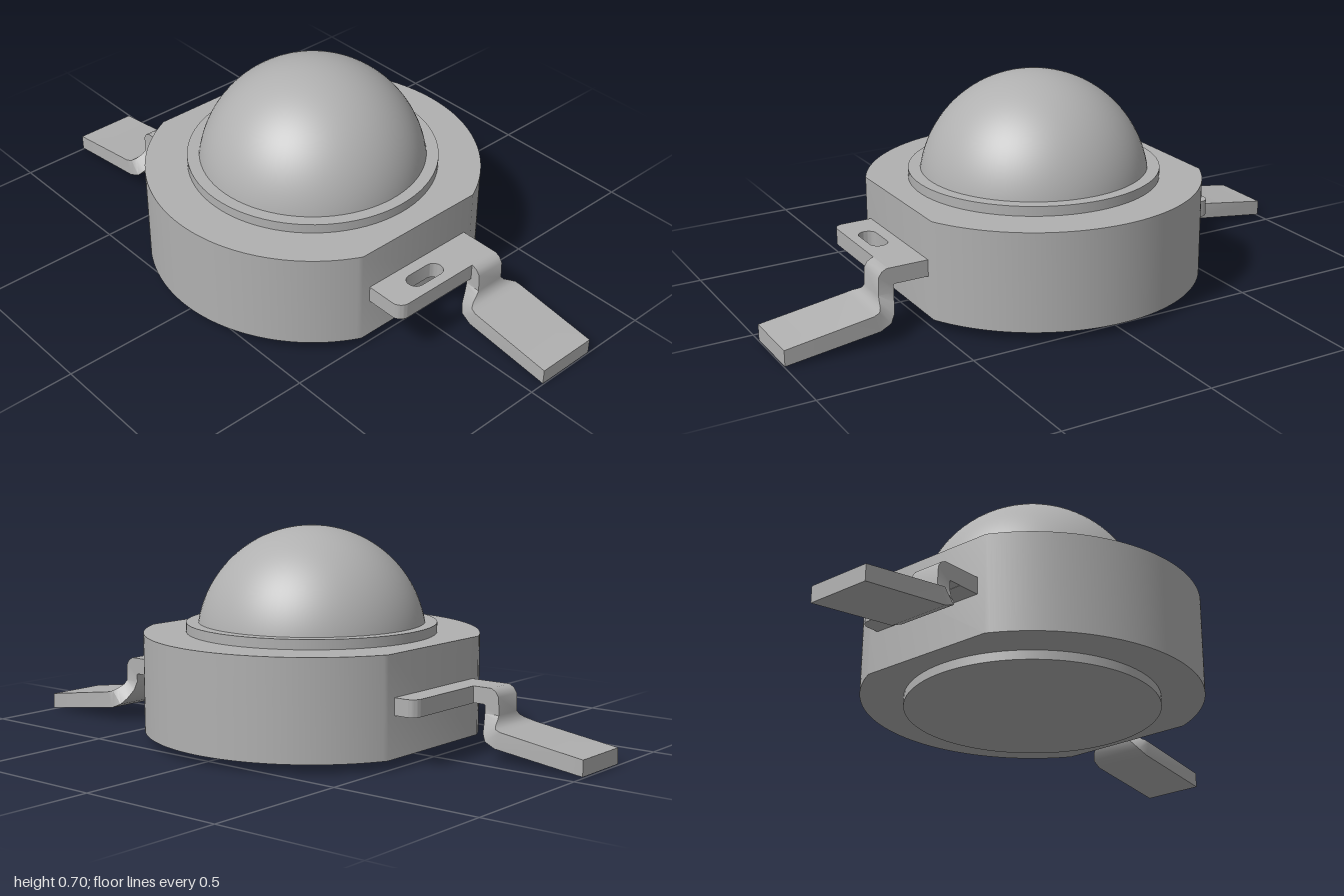
import * as THREE from 'three';
import { toCreasedNormals } from 'three/addons/utils/BufferGeometryUtils.js';

const grey = new THREE.MeshStandardMaterial({ color: 0xb0b0b0 });
grey.name = 'grey';

function part(name, geometry, y = 0) {
  const mesh = new THREE.Mesh(geometry, grey);
  mesh.name = name;
  mesh.position.y = y;
  return mesh;
}

// Extrude a plan outline (shape y = -z) upwards
function slab(shape, depth, curveSegments) {
  const g = new THREE.ExtrudeGeometry(shape, { depth, bevelEnabled: false, curveSegments });
  return toCreasedNormals(g.rotateX(-Math.PI / 2), 0.5);
}

// Side plate with one rounded corner and an optional slot
function plateGeometry(outerX, slotted) {
  const r = 0.035, s = new THREE.Shape();
  s.moveTo(0.49, -0.21);
  s.lineTo(outerX - r, -0.21);
  s.absarc(outerX - r, -0.21 + r, r, -Math.PI / 2, 0, false);
  s.lineTo(outerX, 0.21);
  s.lineTo(0.49, 0.21);
  s.closePath();
  if (slotted) {
    const hole = new THREE.Path();
    hole.absarc(0.57, 0, 0.03, 0, Math.PI, false);
    hole.absarc(0.57, -0.08, 0.03, Math.PI, Math.PI * 2, false);
    hole.closePath();
    s.holes.push(hole);
  }
  return slab(s, 0.055, 10);
}

// Bent lead: each section is outer x, outer y, inner x, inner y, half width
function leadGeometry(startX) {
  const zc = -0.1575, n = 0.0525;
  const sections = [
    [startX, 0.22, startX, 0.166, n],
    [0.64, 0.22, 0.617, 0.166, n],
    [0.657, 0.211, 0.6175, 0.163, n],
    [0.668, 0.194, 0.618, 0.158, n],
    [0.67, 0.137, 0.618, 0.137, n],
    [0.673, 0.124, 0.623, 0.108, 0.064],
    [0.68, 0.112, 0.634, 0.081, 0.086],
    [0.69, 0.104, 0.652, 0.06, 0.102],
    [0.71, 0.098, 0.69, 0.044, 0.107],
    [1, 0.056, 1, 0.004, 0.107],
  ].map(([ox, oy, ix, iy, w]) => [
    [ox, oy, zc + w], [ox, oy, zc - w], [ix, iy, zc - w], [ix, iy, zc + w],
  ]);
  const pos = [];
  const quad = (a, b, c, d) => pos.push(...a, ...b, ...c, ...a, ...c, ...d);
  for (let i = 0; i < sections.length - 1; i++) {
    const a = sections[i], b = sections[i + 1];
    for (let k = 0; k < 4; k++) {
      const m = (k + 1) % 4;
      quad(a[k], b[k], b[m], a[m]);
    }
  }
  const first = sections[0], last = sections[sections.length - 1];
  quad(first[0], first[1], first[2], first[3]);
  quad(last[3], last[2], last[1], last[0]);
  const g = new THREE.BufferGeometry();
  g.setAttribute('position', new THREE.Float32BufferAttribute(pos, 3));
  g.computeVertexNormals();
  return toCreasedNormals(g, 0.7);
}

function terminal(name, outerX, slotted) {
  const group = new THREE.Group();
  group.name = name;
  group.add(part('sidePlate', plateGeometry(outerX, slotted), 0.165));
  group.add(part('bentLead', leadGeometry(outerX - 0.02)));
  return group;
}

export function createModel() {
  const model = new THREE.Group();
  model.name = 'domedComponent';

  // Round housing with two flat sides
  const R = 0.555, a = Math.acos(0.5 / R);
  const outline = new THREE.Shape();
  outline.absarc(0, 0, R, a, Math.PI - a, false);
  outline.absarc(0, 0, R, Math.PI + a, Math.PI * 2 - a, false);
  outline.closePath();
  model.add(part('housing', slab(outline, 0.325, 40), 0.03));

  // Base disc and collar
  model.add(part('baseDisc', new THREE.CylinderGeometry(0.415, 0.415, 0.035, 80), 0.0175));
  model.add(part('collar', new THREE.CylinderGeometry(0.415, 0.415, 0.037, 80), 0.3685));

  // Spherical lens
  const r = 0.3805, cy = 0.703 - r;
  model.add(part('domeLens',
    new THREE.SphereGeometry(r, 80, 32, 0, Math.PI * 2, 0, Math.acos((0.385 - cy) / r)), cy));

  // Opposite terminals
  const left = terminal('leftTerminal', 0.635, true);
  const right = terminal('rightTerminal', 0.575, false);
  right.rotation.y = Math.PI;
  model.add(left, right);
  return model;
}
